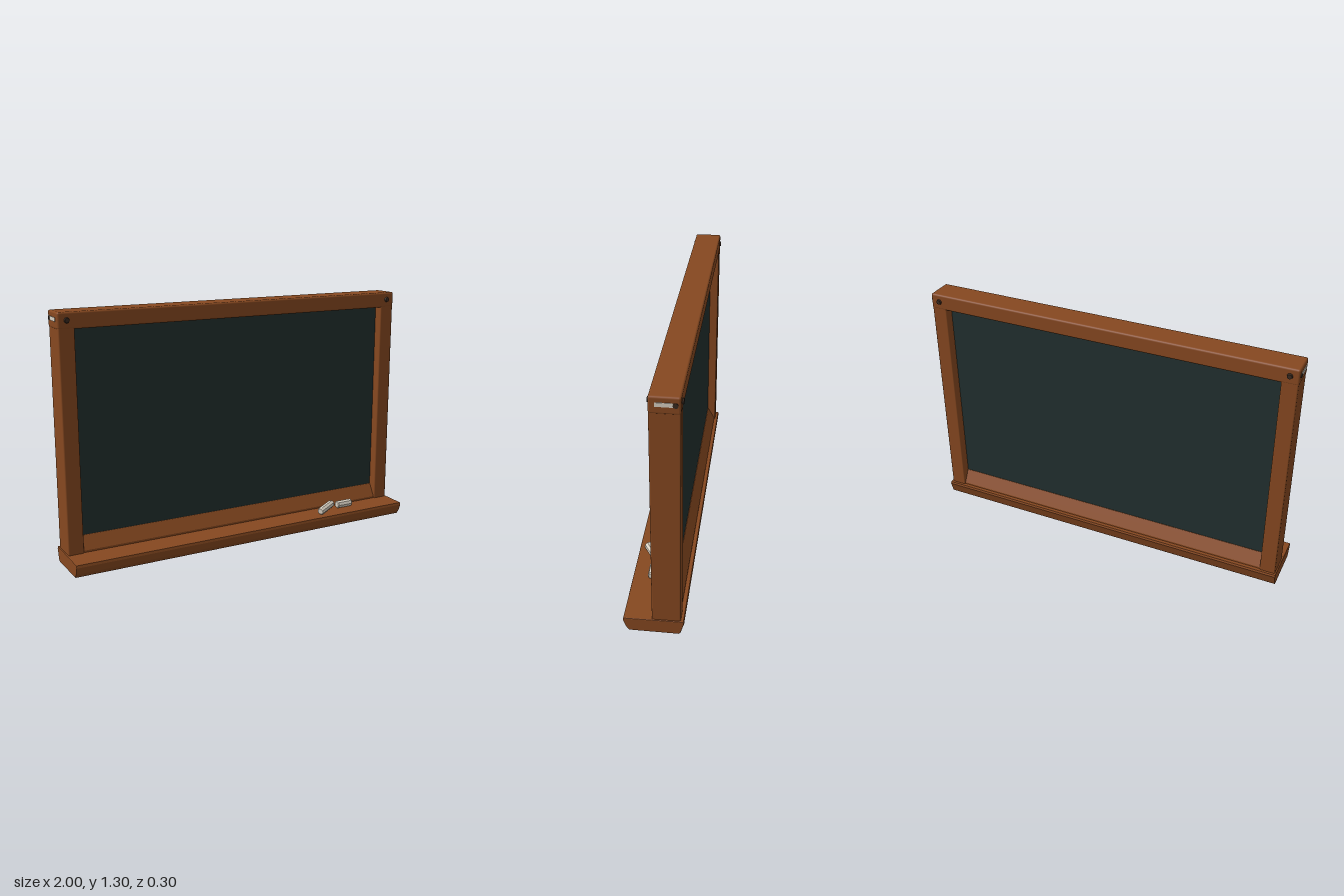
import * as THREE from 'three';
import { RoundedBoxGeometry } from 'three/addons/geometries/RoundedBoxGeometry.js';

const material = (name, color, flatShading = false) => {
  const m = new THREE.MeshStandardMaterial({ color, flatShading });
  m.name = name;
  return m;
};

export function createModel() {
  const wood = material('wood', 0x864820);
  const slate = material('slate', 0x22302f);
  const chalkWhite = material('chalk white', 0xd8d0c2, true);
  const boltDark = material('dark bolt', 0x38291f);

  const model = new THREE.Group();
  model.name = 'chalkboard';
  const midZ = -0.06;

  const add = (name, geometry, mat, x = 0, y = 0, z = 0) => {
    const mesh = new THREE.Mesh(geometry, mat);
    mesh.name = name;
    mesh.position.set(x, y, z);
    model.add(mesh);
    return mesh;
  };

  // Constant cross-section, given as [z, y] points, running along x
  const alongX = (points, length, bevel = 0) => {
    const shape = new THREE.Shape(points.map(([z, y]) => new THREE.Vector2(-z, y)));
    const depth = length - 2 * bevel;
    const g = new THREE.ExtrudeGeometry(shape, {
      depth, bevelEnabled: bevel > 0, bevelSize: bevel, bevelThickness: bevel,
      bevelOffset: -bevel, bevelSegments: 2,
    });
    g.translate(0, 0, -depth / 2);
    g.rotateY(Math.PI / 2);
    return g;
  };

  // Writing surface, recessed on both sides
  add('board', new THREE.BoxGeometry(1.84, 1.09, 0.044), slate, 0, 0.685, midZ);

  // Frame
  add('topRail', new RoundedBoxGeometry(1.99, 0.084, 0.142, 2, 0.01), wood, 0, 1.258, midZ);
  for (const side of [-1, 1]) {
    add('post', new RoundedBoxGeometry(0.083, 1.17, 0.14, 2, 0.007), wood, side * 0.951, 0.643, midZ);
  }

  // Bottom rail, sloping outwards to the tray
  add('bottomRail', alongX([
    [0.005, 0.06], [0.003, 0.085], [-0.036, 0.155],
    [-0.084, 0.155], [-0.123, 0.085], [-0.125, 0.06],
  ], 1.84), wood);

  // Tray with tapered front and back
  add('tray', alongX([
    [0.12, 0], [0.137, 0.023], [0.15, 0.06], [0.147, 0.073],
    [-0.143, 0.077], [-0.147, 0.066], [-0.13, 0.008], [-0.122, 0],
  ], 2, 0.004), wood);

  // Bolts on the rail corners, and the inlay on each rail end
  for (const side of [-1, 1]) {
    for (const face of [-1, 1]) {
      const bolt = add('bolt', new THREE.CylinderGeometry(0.012, 0.016, 0.012, 10), boltDark,
        side * 0.948, 1.26, midZ + face * 0.073);
      bolt.rotation.x = face * Math.PI / 2;
    }
    add('endInlay', new THREE.BoxGeometry(0.006, 0.02, 0.08), chalkWhite, side * 0.995, 1.263, -0.058);
    const endBolt = add('endBolt', new THREE.CylinderGeometry(0.011, 0.013, 0.008, 8), boltDark,
      side * 0.995, 1.262, -0.108);
    endBolt.rotation.z = Math.PI / 2;
  }

  // Chalk sticks lying on the tray
  const chalk = (name, from, to, radius) => {
    const a = new THREE.Vector3(...from), b = new THREE.Vector3(...to);
    const profile = [[0, -0.5], [0.8, -0.5], [1, -0.45], [1, 0.45], [0.8, 0.5], [0, 0.5]]
      .map(([r, h]) => new THREE.Vector2(r * radius, h * a.distanceTo(b)));
    const mesh = add(name, new THREE.LatheGeometry(profile, 8), chalkWhite);
    mesh.position.lerpVectors(a, b, 0.5);
    mesh.quaternion.setFromUnitVectors(new THREE.Vector3(0, 1, 0), b.sub(a).normalize());
  };
  chalk('longChalk', [0.46, 0.094, 0.106], [0.58, 0.106, 0.042], 0.021);
  chalk('shortChalk', [0.61, 0.094, 0.05], [0.707, 0.094, 0.05], 0.022);

  return model;
}
